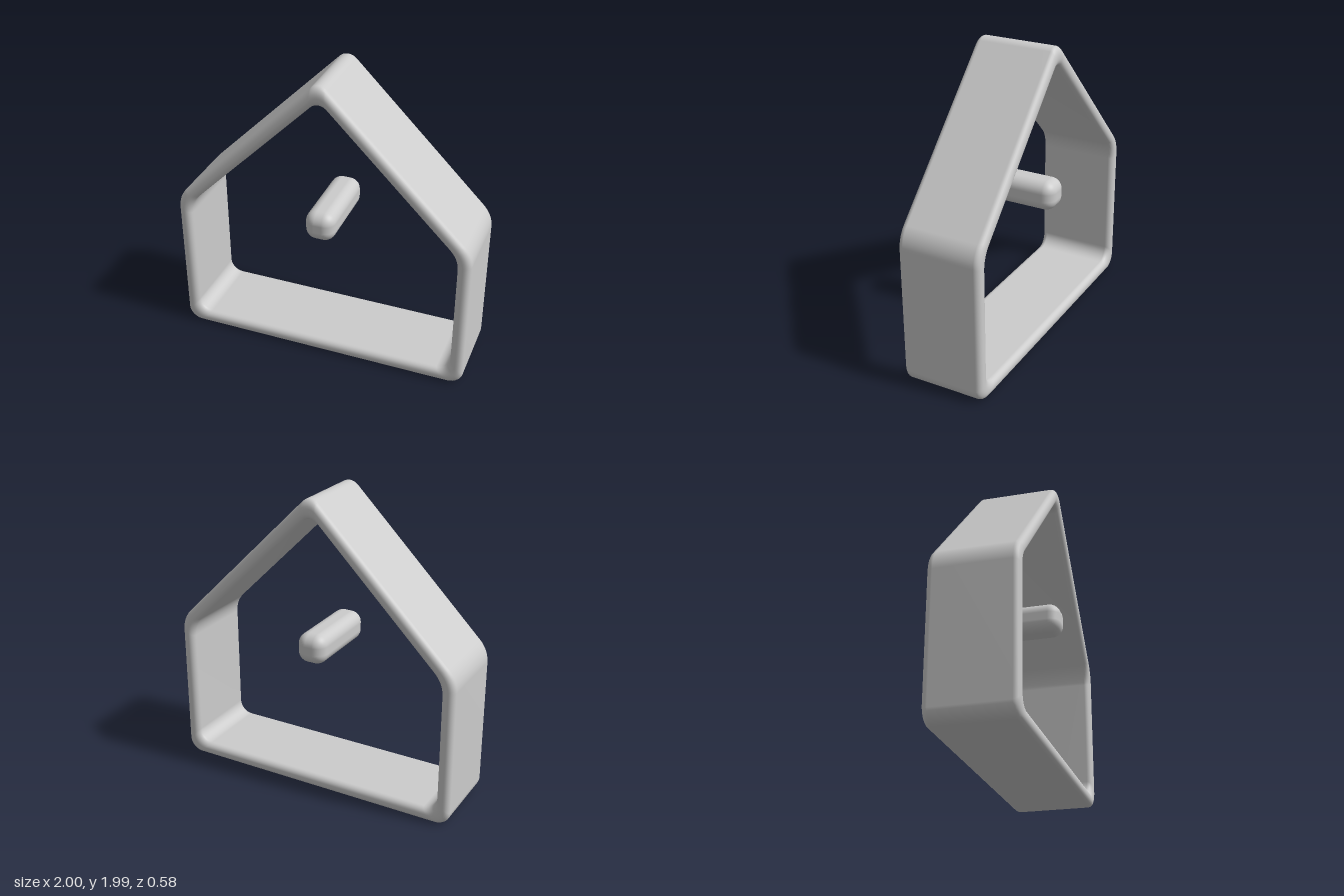
import * as THREE from 'three';
import { RoundedBoxGeometry } from 'three/addons/geometries/RoundedBoxGeometry.js';

// Centre line of the house outline, anticlockwise: x, y, corner radius
const CORNERS = [
  [-0.955, 0.045, 0.09],
  [0.955, 0.045, 0.09],
  [0.955, 1.0, 0.2],
  [0, 1.955, 0.075],
  [-0.955, 1.0, 0.2],
];
const ARC = 8;

// House outline moved outwards by d, with every corner rounded
function outline(d) {
  const n = CORNERS.length;
  const normalAngle = (a, b) => Math.atan2(a[0] - b[0], b[1] - a[1]);
  const points = [];
  CORNERS.forEach((p, i) => {
    const a1 = normalAngle(CORNERS[(i + n - 1) % n], p);
    let turn = normalAngle(p, CORNERS[(i + 1) % n]) - a1;
    if (turn < 0) turn += Math.PI * 2;
    const r = p[2];
    const reach = (d - r) / Math.cos(turn / 2);
    const cx = p[0] + Math.cos(a1 + turn / 2) * reach;
    const cy = p[1] + Math.sin(a1 + turn / 2) * reach;
    for (let k = 0; k <= ARC; k++) {
      const a = a1 + (turn * k) / ARC;
      points.push([cx + r * Math.cos(a), cy + r * Math.sin(a)]);
    }
  });
  return points;
}

// Rounded rectangular wall section: d across the thickness, z along the depth
function wallSection(halfThickness, halfDepth, r) {
  const section = [];
  const steps = 6;
  [[1, 1], [-1, 1], [-1, -1], [1, -1]].forEach(([sd, sz], q) => {
    for (let k = 0; k <= steps; k++) {
      const a = ((q + k / steps) * Math.PI) / 2;
      section.push([
        sd * (halfThickness - r) + r * Math.cos(a),
        sz * (halfDepth - r) + r * Math.sin(a),
      ]);
    }
  });
  return section;
}

// Wall section carried all the way round the outline
function frameGeometry() {
  const section = wallSection(0.045, 0.28, 0.04);
  const positions = [];
  const index = [];
  const m = section.length;
  const n = CORNERS.length * (ARC + 1);
  section.forEach(([d, z]) => outline(d).forEach(([x, y]) => positions.push(x, y, z)));
  for (let j = 0; j < m; j++) {
    for (let i = 0; i < n; i++) {
      const i2 = (i + 1) % n;
      const j2 = (j + 1) % m;
      const a = j * n + i, b = j * n + i2, c = j2 * n + i2, e = j2 * n + i;
      index.push(a, b, c, a, c, e);
    }
  }
  const geometry = new THREE.BufferGeometry();
  geometry.setAttribute('position', new THREE.Float32BufferAttribute(positions, 3));
  geometry.setIndex(index);
  geometry.computeVertexNormals();
  return geometry;
}

export function createModel() {
  const group = new THREE.Group();
  group.name = 'houseFrame';
  const grey = new THREE.MeshStandardMaterial({ color: 0xcccccc });
  grey.name = 'light grey';

  // Open house-shaped wall
  const frame = new THREE.Mesh(frameGeometry(), grey);
  frame.name = 'houseWall';

  // Rounded peg in the middle, running front to back
  const peg = new THREE.Mesh(new RoundedBoxGeometry(0.2, 0.2, 0.58, 5, 0.075), grey);
  peg.name = 'centrePeg';
  peg.position.y = 1.0;

  group.add(frame, peg);
  return group;
}
